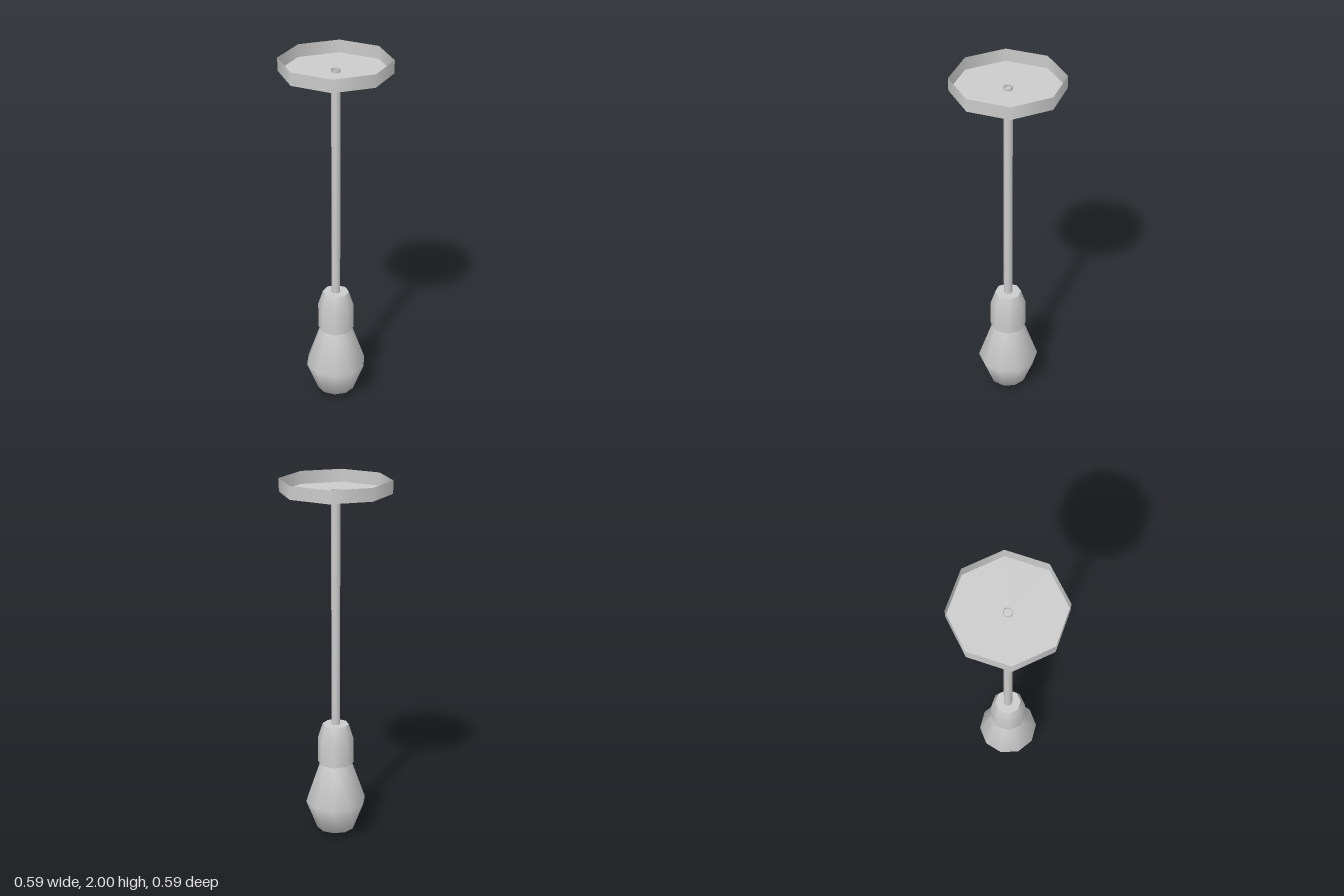
import * as THREE from 'three';

export function createModel() {
  const group = new THREE.Group();
  group.name = 'pendantLamp';
  const grey = new THREE.MeshStandardMaterial({ color: 0xcccccc, side: THREE.DoubleSide });
  grey.name = 'light grey';

  const add = (name, geometry, y = 0) => {
    const mesh = new THREE.Mesh(geometry, grey);
    mesh.name = name;
    mesh.position.y = y;
    group.add(mesh);
    return mesh;
  };
  const lathe = (profile, sides) =>
    new THREE.LatheGeometry(profile.map(([r, y]) => new THREE.Vector2(r, y)), sides);
  // Flat disc facing up (dir = 1) or down (dir = -1), a corner on each axis
  const disc = (radius, dir = 1) => new THREE.CircleGeometry(radius, 8).rotateX(-dir * Math.PI / 2);

  // Ceiling canopy: a thin dish, open at the top
  add('canopyRim', lathe([[0.297, 1.93], [0.297, 2]], 8));
  add('canopyFloor', disc(0.297, -1), 1.93);

  // Rod, poking just through the canopy floor
  add('rod', new THREE.CylinderGeometry(0.024, 0.024, 1.305, 8, 1, true), 1.2925);

  // Socket with a tapered shoulder and flat ends
  add('socket', lathe([[0.098, 0.425], [0.098, 0.57], [0.072, 0.65]], 8));
  add('socketTop', disc(0.072), 0.65);
  add('socketBottom', disc(0.098, -1), 0.425);

  // Ten-sided smooth bulb
  add('bulb', lathe([[0, 0], [0.104, 0.037], [0.167, 0.2], [0.087, 0.43]], 10));

  return group;
}
